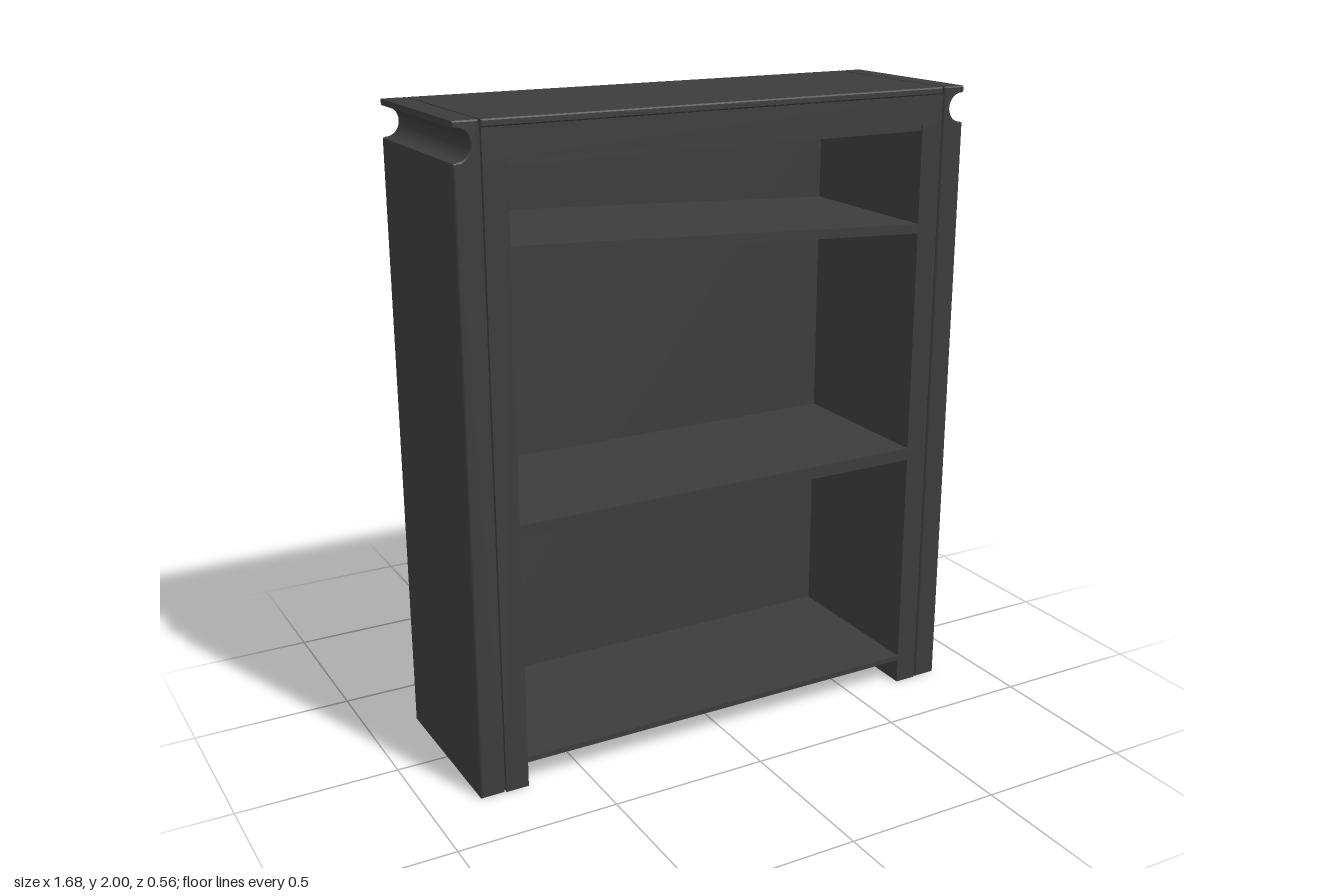
import * as THREE from 'three';

const DEPTH = 0.56;
const BEVEL = 0.004;

export function createModel() {
  const model = new THREE.Group();
  model.name = 'bookcase';
  const material = new THREE.MeshStandardMaterial({ color: 0x3c3c3c, flatShading: true });

  function add(name, geometry) {
    const mesh = new THREE.Mesh(geometry, material);
    mesh.name = name;
    model.add(mesh);
    return mesh;
  }

  // Front outline extruded through the depth, with a small chamfer front and back
  function extrudeBoard(name, shape) {
    const geometry = new THREE.ExtrudeGeometry(shape, {
      depth: DEPTH - 2 * BEVEL, bevelEnabled: true, bevelSegments: 1,
      bevelSize: BEVEL, bevelThickness: BEVEL, bevelOffset: -BEVEL, curveSegments: 16,
    });
    geometry.translate(0, 0, -DEPTH / 2 + BEVEL);
    return add(name, geometry);
  }

  function rectangle(x0, x1, y0, y1) {
    return new THREE.Shape([[x0, y0], [x1, y0], [x1, y1], [x0, y1]].map(p => new THREE.Vector2(...p)));
  }

  function box(name, x0, x1, y0, y1, z0, z1) {
    const mesh = add(name, new THREE.BoxGeometry(x1 - x0, y1 - y0, z1 - z0));
    mesh.position.set((x0 + x1) / 2, (y0 + y1) / 2, (z0 + z1) / 2);
    return mesh;
  }

  // Outer side panels with a cove cut along the top, and the inner uprights
  for (const s of [1, -1]) {
    const side = s > 0 ? 'left' : 'right';
    const panel = new THREE.Shape();
    panel.moveTo(s * 0.763, 0);
    panel.lineTo(s * 0.838, 0);
    panel.lineTo(s * 0.838, 1.888);
    panel.lineTo(s * 0.828, 1.89);
    panel.absarc(s * 0.832, 1.935, 0.045, s > 0 ? -Math.PI / 2 : -Math.PI / 2, Math.PI / 2, s > 0);
    panel.lineTo(s * 0.838, 1.982);
    panel.lineTo(s * 0.838, 2);
    panel.lineTo(s * 0.763, 2);
    panel.closePath();
    // The arc's ends share one x, so the mirrored arc simply runs the other way
    extrudeBoard(side + 'SidePanel', panel);
    box(side + 'Upright', Math.min(s * 0.685, s * 0.757), Math.max(s * 0.685, s * 0.757),
      0, 1.89, -0.28, 0.28);
    // Hidden tongue that closes the seam between panel and upright
    box(side + 'SeamFiller', s * 0.76 - 0.004, s * 0.76 + 0.004, 0.01, 1.99, -0.268, 0.268);
  }

  // Top: frieze, lid and ceiling
  box('frieze', -0.757, 0.757, 1.89, 1.978, -0.28, 0.28);
  extrudeBoard('topBoard', rectangle(-0.757, 0.757, 1.978, 2));
  box('ceiling', -0.685, 0.685, 1.872, 1.89, -0.28, 0.275);

  // Back and floor
  box('backPanel', -0.685, 0.685, 0.08, 1.872, -0.28, -0.268);
  box('bottomShelf', -0.685, 0.685, 0.08, 0.097, -0.268, 0.28);
  box('middleShelf', -0.685, 0.685, 0.805, 0.845, -0.268, 0.28);

  // Upper shelf slopes down toward +x, its ends staying vertical against the uprights
  const upper = box('slopedShelf', -0.685, 0.685, 1.59, 1.62, -0.268, 0.28);
  const position = upper.geometry.attributes.position;
  for (let i = 0; i < position.count; i++) {
    position.setY(i, position.getY(i) - position.getX(i) * 0.052);
  }
  upper.geometry.computeVertexNormals();

  return model;
}
